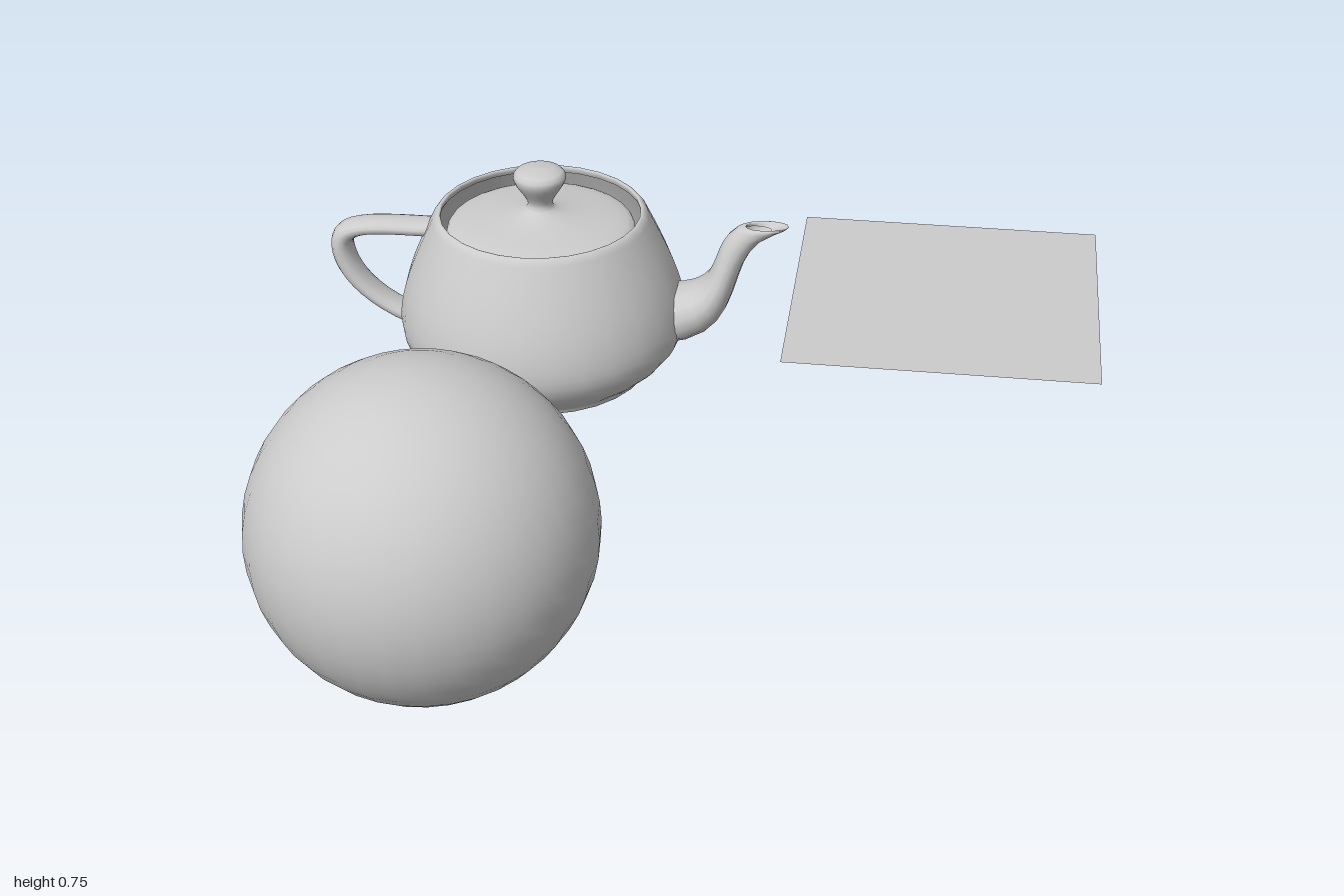
import * as THREE from 'three';

const SEG = 10; // steps per curve
const material = new THREE.MeshStandardMaterial({ color: 0xcccccc });
const thin = new THREE.MeshStandardMaterial({ color: 0xcccccc, side: THREE.DoubleSide });

function part(name, geometry, mat = thin) {
  const mesh = new THREE.Mesh(geometry, mat);
  mesh.name = name;
  return mesh;
}

const v2 = ([x, y]) => new THREE.Vector2(x, y);
const bezier = (p) => new THREE.CubicBezierCurve(...p.map(v2));

// Joined cubic curves sampled into one point list, optionally turned on the y axis
const samples = (curves) =>
  curves.flatMap((c, i) => bezier(c).getPoints(SEG).slice(i ? 1 : 0));

const turned = (curves) => new THREE.LatheGeometry(
  samples(curves).map((p) => new THREE.Vector2(Math.max(p.x, 0), p.y)), 28);

// Tube between an inner and an outer edge curve, with a half width along the way
function loft(inner, outer, widths) {
  const A = samples(inner), B = samples(outer);
  const W = samples(widths.map((w) => w.map((v) => [v, 0])));
  const half = 7, ring = half * 2, pos = [], index = [];
  A.forEach((a, i) => {
    const b = B[i], w = W[i].x;
    for (let j = 0; j < ring; j++) {
      const side = j < half ? 1 : -1;
      const t = j < half ? j / half : 2 - j / half;
      const k = t * t * (3 - 2 * t);
      pos.push(a.x + (b.x - a.x) * k, a.y + (b.y - a.y) * k, side * 3 * t * (1 - t) * w);
      if (i < A.length - 1) {
        const p = i * ring + j, q = i * ring + (j + 1) % ring;
        index.push(p, q, p + ring, q, q + ring, p + ring);
      }
    }
  });
  const g = new THREE.BufferGeometry();
  g.setAttribute('position', new THREE.Float32BufferAttribute(pos, 3));
  g.setIndex(index);
  g.computeVertexNormals();
  return g;
}

function createTeapot() {
  const teapot = new THREE.Group();
  teapot.name = 'teapot';

  // Base, belly and rolled rim, from the bottom up
  teapot.add(part('body', turned([
    [[0, 0], [1.425, 0], [1.5, 0.075], [1.5, 0.15]],
    [[1.5, 0.15], [1.5, 0.225], [2, 0.45], [2, 0.9]],
    [[2, 0.9], [2, 1.35], [1.75, 1.875], [1.5, 2.4]],
    [[1.5, 2.4], [1.4375, 2.53125], [1.3375, 2.53125], [1.4, 2.4]],
  ])));

  // Lid with its knob
  teapot.add(part('lid', turned([
    [[1.3, 2.25], [1.3, 2.4], [0.4, 2.4], [0.2, 2.55]],
    [[0.2, 2.55], [0, 2.7], [0.8, 3.15], [0, 3.15]],
  ])));

  teapot.add(part('handle', loft(
    [[[-1.6, 2.025], [-2.3, 2.025], [-2.7, 2.025], [-2.7, 1.8]],
      [[-2.7, 1.8], [-2.7, 1.575], [-2.5, 1.125], [-2, 0.9]]],
    [[[-1.5, 2.25], [-2.5, 2.25], [-3, 2.25], [-3, 1.8]],
      [[-3, 1.8], [-3, 1.35], [-2.65, 0.9375], [-1.9, 0.6]]],
    [[0.3, 0.3, 0.3, 0.3], [0.3, 0.3, 0.3, 0.3]],
  )));

  // Spout, its lip folding back into the open mouth
  teapot.add(part('spout', loft(
    [[[1.7, 1.425], [2.6, 1.425], [2.3, 2.1], [2.7, 2.4]],
      [[2.7, 2.4], [2.8, 2.475], [2.9, 2.475], [2.8, 2.4]]],
    [[[1.7, 0.6], [3.1, 0.825], [2.4, 2.025], [3.3, 2.4]],
      [[3.3, 2.4], [3.525, 2.49375], [3.45, 2.5125], [3.2, 2.4]]],
    [[0.66, 0.66, 0.25, 0.25], [0.25, 0.25, 0.15, 0.15]],
  )));

  teapot.scale.setScalar(0.1775);
  teapot.position.set(-0.41, 0, -0.645);
  return teapot;
}

export function createModel() {
  const model = new THREE.Group();
  model.add(createTeapot());

  const ball = part('ball', new THREE.SphereGeometry(0.355, 32, 24), material);
  ball.position.set(-0.41, 0.395, 0.645);
  model.add(ball);

  // Flat square sheet floating beside the teapot
  const sheet = part('sheet', new THREE.PlaneGeometry(0.715, 0.715).rotateX(-Math.PI / 2));
  sheet.position.set(0.585, 0.36, -0.5);
  model.add(sheet);

  return model;
}
